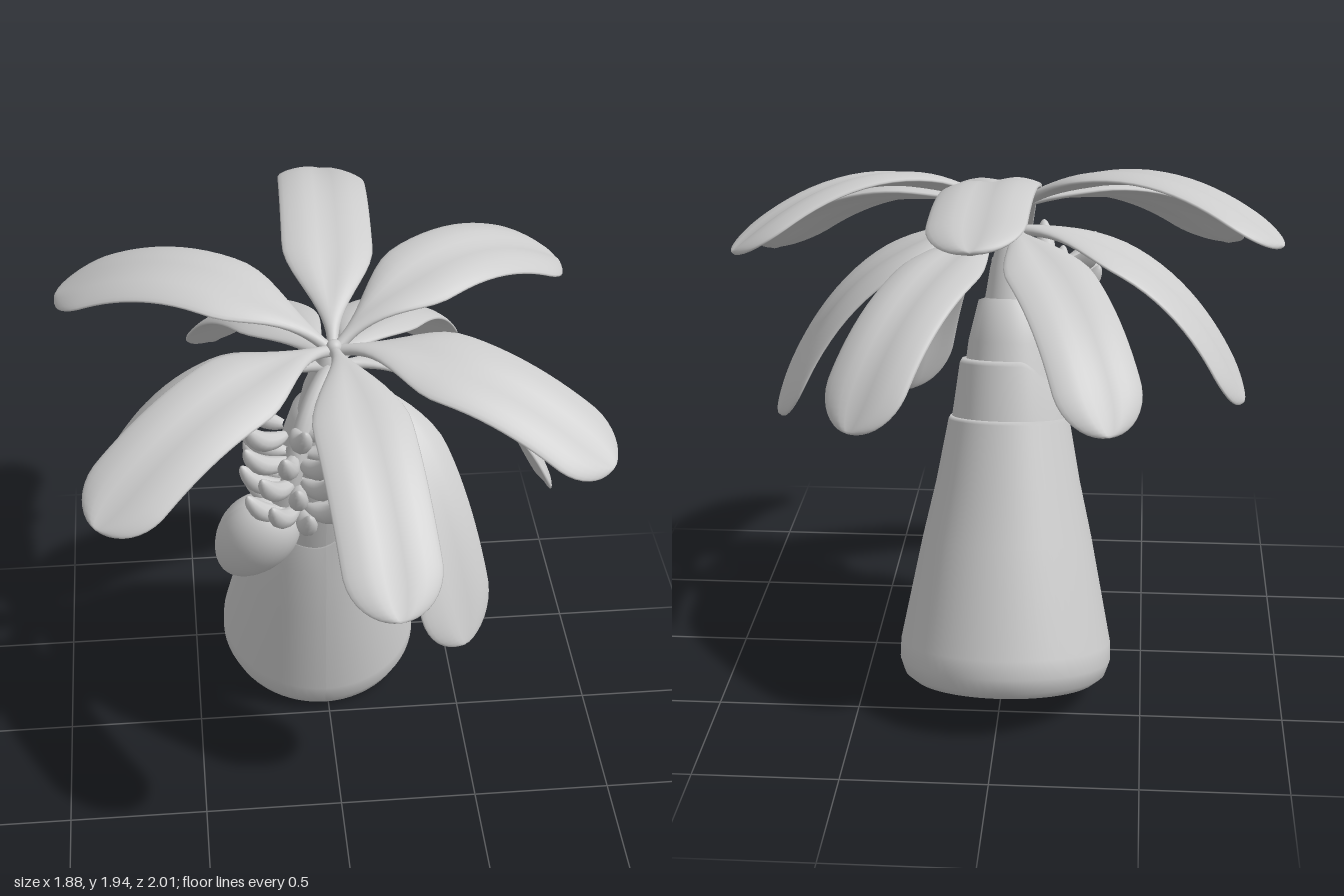
import * as THREE from 'three';

const V = (x, y, z) => new THREE.Vector3(x, y, z);
const UP = V(0, 1, 0);
const smooth = (a, b, t) => THREE.MathUtils.smoothstep(t, a, b);

// Closed skin swept along a curve; section(t, angle) gives [sideways, upward] offsets
function sweep(curve, rows, cols, section) {
  const pos = [], index = [];
  for (let i = 0; i <= rows; i++) {
    const t = 0.5 - 0.5 * Math.cos(Math.PI * i / rows);
    const p = curve.getPointAt(t), T = curve.getTangentAt(t);
    const S = T.clone().cross(UP).normalize();
    const N = S.clone().cross(T);
    for (let j = 0; j < cols; j++) {
      const [s, n] = section(t, j / cols * Math.PI * 2);
      const q = p.clone().addScaledVector(S, s).addScaledVector(N, n);
      pos.push(q.x, q.y, q.z);
    }
  }
  for (let i = 0; i < rows; i++) for (let j = 0; j < cols; j++) {
    const k = (j + 1) % cols, a = i * cols + j, b = i * cols + k;
    index.push(a, a + cols, b, b, a + cols, b + cols);
  }
  const g = new THREE.BufferGeometry();
  g.setAttribute('position', new THREE.Float32BufferAttribute(pos, 3));
  g.setIndex(index);
  g.computeVertexNormals();
  return g;
}

// Leaf tiers: height at the crown, height of the arch control point, and how far out it sits
const HIGH = { base: 1.69, arch: 2.08, reach: 0.5 };
const MIDDLE = { base: 1.7, arch: 1.85, reach: 0.5 };
const LOW = { base: 1.63, arch: 1.68, reach: 0.7 };

// Broad leaf: thin stalk, parallel sides, round tip, groove along the midrib, rolled about its length
function leafGeometry(tier, halfWidth, roll, x, y, z) {
  const start = V(0.01, tier.base, 0.03), tipPoint = V(x, y, z);
  const control = start.clone().lerp(tipPoint, tier.reach).setY(tier.arch);
  const curve = new THREE.QuadraticBezierCurve3(start, control, tipPoint);
  return sweep(curve, 36, 28, (t, a) => {
    const tip = t > 0.84 ? Math.sqrt(Math.max(0, 1 - ((t - 0.84) / 0.16) ** 2)) : 1;
    const w = (0.02 + (halfWidth - 0.02) * smooth(0.04, 0.4, t)) * tip;
    const u = Math.cos(a), open = smooth(0.1, 0.35, t);
    const groove = -0.016 * open * tip * Math.exp(-u * u * 12);
    const droop = -0.1 * w * u * u * open;
    const s = w * u, n = 0.02 * Math.sin(a) * Math.sqrt(tip) + groove + droop;
    const r = roll * open;
    return [s * Math.cos(r) + n * Math.sin(r), n * Math.cos(r) - s * Math.sin(r)];
  });
}

// Name, tier, half width, roll, tip position
const LEAVES = [
  ['backLeaf', HIGH, 0.16, 0.08, 0.05, 1.84, -1],
  ['backRightLeaf', HIGH, 0.155, -0.15, -0.93, 1.71, -0.41],
  ['backLeftLeaf', HIGH, 0.155, 0.2, 0.87, 1.69, -0.53],
  ['frontLeaf', MIDDLE, 0.165, 0, 0.14, 1.3, 1],
  ['sideLeftLeaf', MIDDLE, 0.16, 0.25, 0.92, 1.44, 0.43],
  ['sideRightLeaf', MIDDLE, 0.16, -0.25, -0.81, 1.44, 0.62],
  ['lowerBackRightLeaf', LOW, 0.155, 0, -0.38, 1.2, -0.86],
  ['lowerBackLeftLeaf', LOW, 0.155, 0, 0.46, 1.18, -0.83],
  ['lowerLeftLeaf', LOW, 0.185, 0, 0.81, 0.99, -0.14],
  ['lowerRightLeaf', LOW, 0.175, 0, -0.84, 1.05, -0.09],
  ['lowerFrontLeaf', LOW, 0.16, 0, 0.42, 0.83, 0.58],
];

export function createModel() {
  const model = new THREE.Group();
  const clay = new THREE.MeshStandardMaterial({ color: 0xcccccc });
  clay.name = 'clay';
  const group = name => {
    const g = new THREE.Group();
    g.name = name;
    model.add(g);
    return g;
  };
  const add = (name, geometry, parent) => {
    const mesh = new THREE.Mesh(geometry, clay);
    mesh.name = name;
    parent.add(mesh);
    return mesh;
  };
  const lathe = profile =>
    new THREE.LatheGeometry(profile.map(([r, y]) => new THREE.Vector2(r, y)), 64);

  // Sheath with a ragged rim that dips around the given angle
  const sheath = (profile, low, high, angle, depth) => {
    const g = lathe(profile), p = g.attributes.position;
    for (let i = 0; i < p.count; i++) {
      const dip = smooth(0.4, 1, Math.cos(Math.atan2(p.getX(i), p.getZ(i)) - angle));
      p.setY(i, p.getY(i) - depth * dip * smooth(low, high, p.getY(i)));
    }
    g.computeVertexNormals();
    return g;
  };

  // Leaning trunk made of nested sheaths
  const trunk = group('trunk');
  trunk.position.set(-0.015, 0.08, -0.392);
  trunk.rotation.x = 0.25;
  add('outerSheath', sheath([[0, 0], [0.28, 0], [0.325, 0.009], [0.357, 0.034], [0.375, 0.085], [0.373, 0.15],
    [0.3, 0.52], [0.255, 0.72], [0.215, 0.94], [0.208, 0.952], [0.1, 0.955]], 0.7, 0.94, -0.5, 0.11), trunk);
  add('middleSheath', sheath([[0.222, 0.72], [0.204, 0.94], [0.178, 1.14], [0.17, 1.155], [0.08, 1.16]],
    0.95, 1.14, -1.7, 0.07), trunk);
  add('innerSheath', lathe([[0.17, 1.03], [0.148, 1.22], [0.115, 1.36], [0.05, 1.385]]), trunk);
  add('trunkTip', lathe([[0.095, 1.35], [0.075, 1.48], [0.025, 1.66], [0, 1.67]]), trunk);

  // Crown
  const crown = group('crown');
  for (const [name, ...shape] of LEAVES) add(name, leafGeometry(...shape), crown);
  add('crownBud', new THREE.SphereGeometry(0.027, 20, 14), crown).position.set(0.012, 1.72, 0.04);

  // Fruit bunch hanging at the front right
  const bunch = group('fruitBunch');
  const stem = new THREE.CubicBezierCurve3(
    V(0, 1.62, 0.03), V(-0.15, 1.5, 0.2), V(-0.11, 1.3, 0.22), V(-0.21, 1.14, 0.17));
  add('fruitStem', new THREE.TubeGeometry(stem, 24, 0.035, 12), bunch);

  // Each fruit curves outward and up
  const fruitCurve = new THREE.QuadraticBezierCurve3(V(0, 0, 0.03), V(0, -0.02, 0.15), V(0, 0.105, 0.2));
  const fruit = sweep(fruitCurve, 14, 10, (t, a) => {
    const r = 0.035 * Math.sqrt(Math.max(0, Math.sin(Math.PI * (0.05 + t * 0.95))));
    return [r * Math.cos(a), r * Math.sin(a)];
  });
  [4, 5, 6, 6].forEach((count, tier) => {
    for (let i = 0; i < count; i++) {
      const f = add('fruit', fruit, bunch);
      f.position.set(-0.14 + 0.008 * tier, 1.48 - 0.1 * tier - 0.02 * (i % 2), 0.15 + 0.012 * tier);
      f.rotation.y = -0.4 + (i / (count - 1) - 0.5) * 3.3 + 0.15 * (tier % 2);
    }
  });

  // Egg-shaped flower bud under the bunch, broader at the top
  const egg = new THREE.SphereGeometry(1, 32, 24), e = egg.attributes.position;
  for (let i = 0; i < e.count; i++) {
    const k = 1 + 0.18 * e.getY(i);
    e.setX(i, e.getX(i) * k);
    e.setZ(i, e.getZ(i) * k);
  }
  egg.computeVertexNormals();
  const bud = add('flowerBud', egg, bunch);
  bud.position.set(-0.28, 1.01, 0.15);
  bud.quaternion.setFromUnitVectors(UP, V(0.17, 0.33, 0.09).normalize());
  bud.scale.set(0.137, 0.2, 0.12);

  return model;
}
